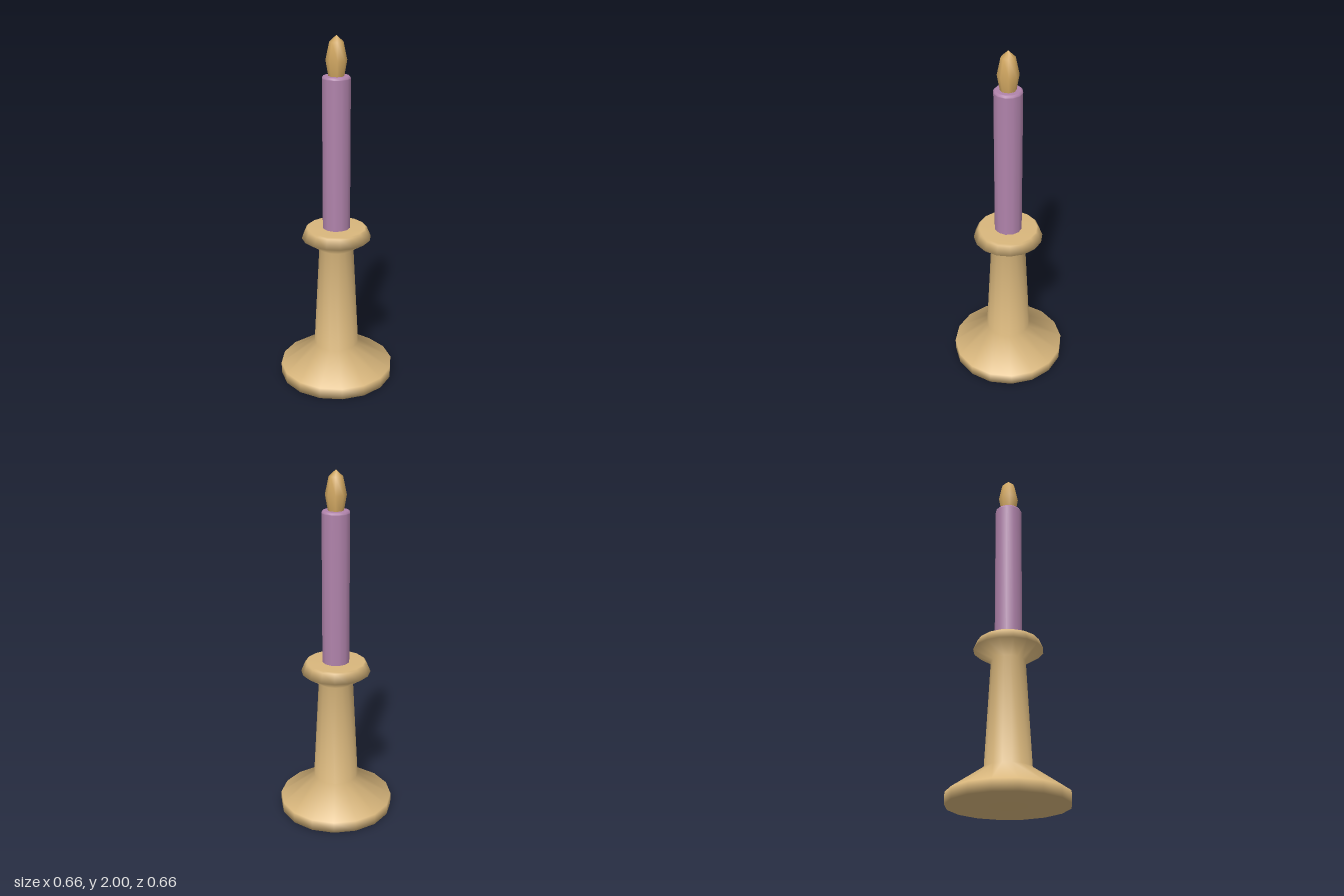
import * as THREE from 'three';

const material = (name, color) => {
  const m = new THREE.MeshStandardMaterial({ color });
  m.name = name;
  return m;
};

// Turned part from [radius, height] pairs, listed bottom to top
function turned(name, profile, sides, mat) {
  const points = profile.map(([r, y]) => new THREE.Vector2(r, y));
  const mesh = new THREE.Mesh(new THREE.LatheGeometry(points, sides), mat);
  mesh.name = name;
  return mesh;
}

export function createModel() {
  const brass = material('pale brass', 0xd8b67c);
  const wax = material('mauve wax', 0xb083ab);
  const glow = material('amber flame', 0xd2a862);

  const group = new THREE.Group();
  group.name = 'candlestick';

  // Wide foot, tapering stem and flared drip cup
  group.add(turned('holder', [
    [0, 0], [0.33, 0], [0.33, 0.065], [0.13, 0.2], [0.098, 0.8],
    [0.197, 0.865], [0.175, 0.918], [0.165, 0.926], [0, 0.926],
  ], 16, brass));

  // Straight candle with a slightly softened top edge
  group.add(turned('candle', [
    [0.078, 0.9], [0.078, 1.772], [0.078, 1.777], [0.071, 1.786], [0.066, 1.786], [0, 1.786],
  ], 12, wax));

  // Teardrop flame
  group.add(turned('flame', [
    [0.042, 1.78], [0.058, 1.87], [0.038, 1.965], [0, 2],
  ], 8, glow));

  return group;
}
